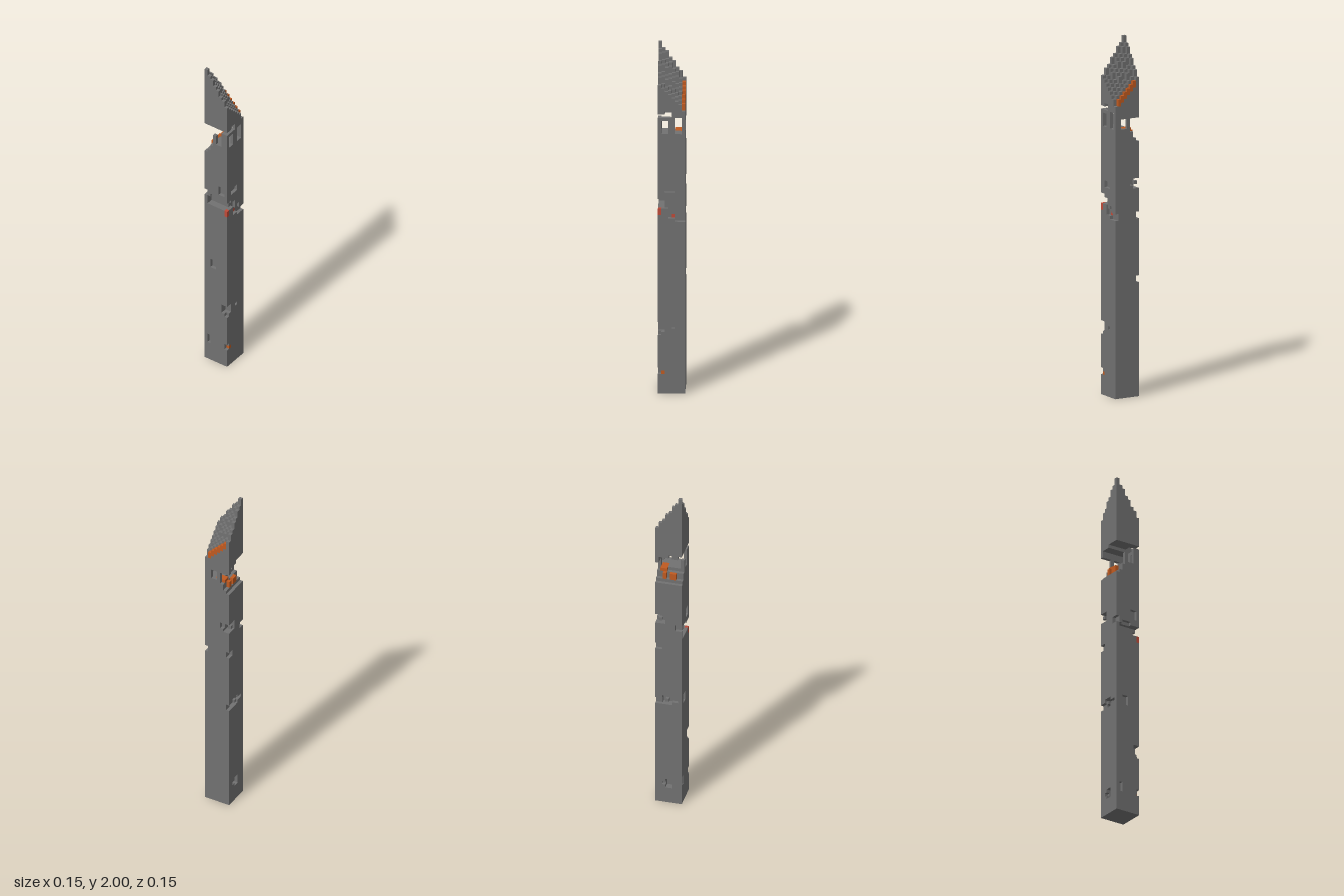
import * as THREE from 'three';

const N = 8, H = 106, V = 2 / H; // blocks across, blocks high, block size

const makeMaterial = (name, color) => {
  const m = new THREE.MeshStandardMaterial({ color });
  m.name = name;
  return m;
};

// Outward normal and the two in-plane axes (u x v = n) of each block face
const FACES = [
  [[1, 0, 0], [0, 1, 0], [0, 0, 1]], [[-1, 0, 0], [0, 0, 1], [0, 1, 0]],
  [[0, 1, 0], [0, 0, 1], [1, 0, 0]], [[0, -1, 0], [1, 0, 0], [0, 0, 1]],
  [[0, 0, 1], [1, 0, 0], [0, 1, 0]], [[0, 0, -1], [0, 1, 0], [1, 0, 0]],
];

export function createModel() {
  const stone = makeMaterial('stone', 0x717171);
  const orange = makeMaterial('orange', 0xc05a20);
  const red = makeMaterial('red', 0xc04a38);
  const blocks = new Map();
  const key = (i, j, k) => i + N * (k + N * j);
  const get = (i, j, k) =>
    i < 0 || k < 0 || j < 0 || i >= N || k >= N ? undefined : blocks.get(key(i, j, k));

  // Fill (or clear, when material is null) an inclusive range of blocks
  const fill = ([i0, i1], [j0, j1], [k0, k1], material) => {
    for (let j = j0; j <= j1; j++)
      for (let k = k0; k <= k1; k++)
        for (let i = i0; i <= i1; i++)
          if (material) blocks.set(key(i, j, k), material);
          else blocks.delete(key(i, j, k));
  };
  const carve = (x, y, z) => fill(x, y, z, null);

  // Shaft
  fill([0, 7], [0, 79], [0, 7], stone);

  // Belfry: corner posts and window mullions, open at the back
  fill([0, 7], [80, 84], [7, 7], stone);
  carve([1, 2], [80, 83], [7, 7]);
  carve([5, 6], [80, 84], [7, 7]);
  for (const i of [0, 7]) {
    fill([i, i], [80, 84], [3, 7], stone);
    carve([i, i], [80, 82], [4, 5]);
  }
  fill([7, 7], [83, 85], [0, 7], stone);
  fill([4, 6], [85, 85], [0, 7], stone);
  carve([0, 0], [83, 84], [3, 5]);

  // Broken floor edge behind the belfry, with loose orange blocks
  carve([0, 7], [76, 79], [0, 0]);
  carve([0, 7], [77, 79], [1, 1]);
  carve([0, 7], [79, 79], [2, 2]);
  fill([2, 3], [77, 78], [1, 1], orange);
  fill([5, 5], [77, 78], [1, 1], orange);
  fill([5, 6], [79, 79], [2, 4], orange);

  // Slanting roof, highest at the back corner, with an orange verge
  for (let k = 0; k < N; k++)
    for (let i = 0; i < N; i++) {
      const m = k;
      const top = Math.round(106 - 1.57 * i - 1.57 * m + 0.07 * i * m);
      fill([i, i], [86, top - 1], [k, k], stone);
      if (i === 7 && k >= 1 && k <= 6) fill([i, i], [top - 2, top - 1], [k, k], orange);
    }
  carve([2, 3], [86, 86], [6, 7]);

  // Worn holes in the shaft: x range, y range, z range
  const holes = [
    [[2, 4], [62, 63], [7, 7]],                                    // front slot
    [[1, 3], [57, 58], [7, 7]], [[3, 5], [54, 56], [7, 7]], [[5, 6], [53, 54], [7, 7]],
    [[7, 7], [53, 54], [7, 7]],
    [[0, 1], [57, 59], [1, 7]], [[0, 0], [60, 60], [2, 4]],        // hole through the side
    [[0, 1], [19, 21], [6, 7]], [[0, 0], [18, 18], [7, 7]], [[4, 4], [20, 20], [7, 7]],
    [[0, 0], [6, 7], [7, 7]], [[0, 0], [62, 64], [5, 6]],
    [[0, 0], [34, 36], [2, 3]], [[0, 0], [6, 8], [1, 1]],
    [[5, 7], [62, 64], [0, 1]], [[7, 7], [63, 64], [2, 2]],        // back corner
    [[6, 7], [53, 54], [0, 0]], [[0, 1], [60, 61], [0, 0]],
    [[3, 5], [34, 36], [0, 1]], [[6, 7], [34, 35], [0, 0]], [[1, 2], [35, 35], [0, 0]],
    [[3, 4], [5, 7], [0, 1]], [[5, 5], [6, 6], [0, 0]],
  ];
  holes.forEach((h) => carve(...h));

  // Rubble left in the holes
  fill([4, 4], [56, 56], [7, 7], stone);
  fill([6, 6], [63, 63], [0, 0], stone);
  fill([4, 4], [35, 35], [0, 0], stone);
  fill([0, 0], [55, 56], [7, 7], red);
  fill([4, 4], [54, 54], [6, 6], red);
  fill([1, 1], [6, 6], [7, 7], orange);

  // Mesh only the exposed block faces within a band of heights
  const meshBand = (name, j0, j1, material) => {
    const pos = [], nor = [], idx = [];
    for (let j = j0; j <= j1; j++)
      for (let k = 0; k < N; k++)
        for (let i = 0; i < N; i++) {
          if (get(i, j, k) !== material) continue;
          const c = [(i - N / 2 + 0.5) * V, (j + 0.5) * V, (k - N / 2 + 0.5) * V];
          for (const [n, u, v] of FACES) {
            if (get(i + n[0], j + n[1], k + n[2])) continue;
            const b = pos.length / 3;
            for (const [s, t] of [[-1, -1], [1, -1], [1, 1], [-1, 1]]) {
              for (let a = 0; a < 3; a++) pos.push(c[a] + (n[a] + s * u[a] + t * v[a]) * V / 2);
              nor.push(...n);
            }
            idx.push(b, b + 1, b + 2, b, b + 2, b + 3);
          }
        }
    if (!idx.length) return null;
    const g = new THREE.BufferGeometry();
    g.setAttribute('position', new THREE.Float32BufferAttribute(pos, 3));
    g.setAttribute('normal', new THREE.Float32BufferAttribute(nor, 3));
    g.setIndex(idx);
    const mesh = new THREE.Mesh(g, material);
    mesh.name = name;
    return mesh;
  };

  const model = new THREE.Group();
  model.name = 'ruinedTower';
  for (const [part, j0, j1] of [['shaft', 0, 75], ['belfry', 76, 85], ['roof', 86, H]]) {
    const group = new THREE.Group();
    group.name = part;
    for (const m of [stone, orange, red]) {
      const mesh = meshBand(part + ' ' + m.name, j0, j1, m);
      if (mesh) group.add(mesh);
    }
    model.add(group);
  }
  return model;
}
